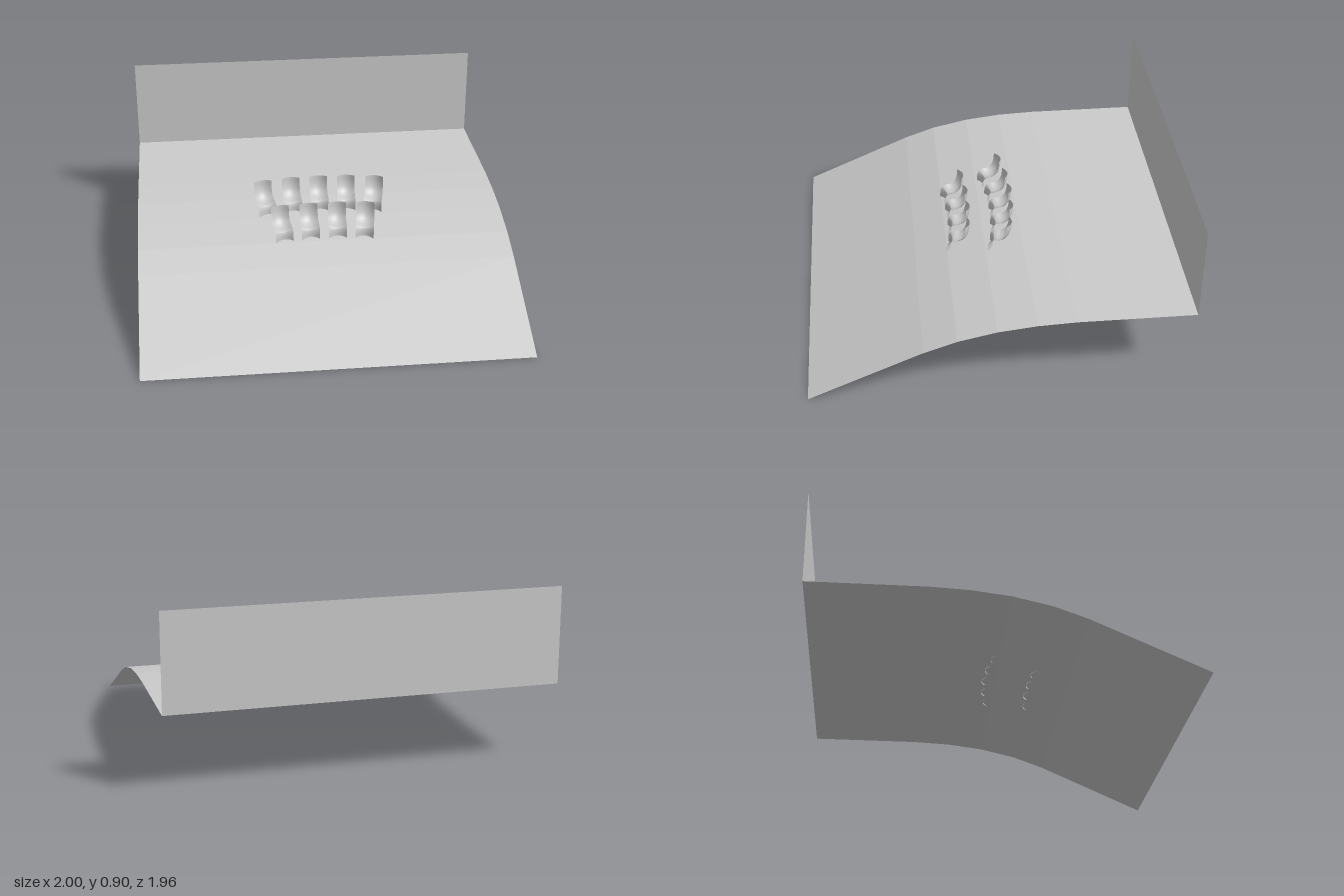
import * as THREE from 'three';

const sheetMaterial = new THREE.MeshStandardMaterial({ color: 0xcccccc, side: THREE.DoubleSide, flatShading: true });
const seatMaterial = new THREE.MeshStandardMaterial({ color: 0xcccccc, side: THREE.DoubleSide });

// Terrace section from back to front as [z, y]
const TERRACE = [[-0.98, 0.405], [-0.38, 0.402], [-0.18, 0.392], [0.02, 0.367], [0.22, 0.321], [0.39, 0.26], [0.975, 0]];

// Seat edge section from backrest top to the foot of the front lip
const SEAT = new THREE.CatmullRomCurve3([
  [0.166, -0.047], [0.125, -0.043], [0.092, -0.03], [0.077, -0.008],
  [0.073, 0.02], [0.063, 0.042], [0.04, 0.052], [0, 0.055],
].map(([y, z]) => new THREE.Vector3(0, y, z)));
const SEAT_WIDTH = 0.098;
const SEAT_BOW = 0.021;

// Sheet spanning x, following a section of [z, y] points
function createTerrace() {
  const geometry = new THREE.PlaneGeometry(2, 1, 1, TERRACE.length - 1);
  const pos = geometry.attributes.position;
  for (let i = 0; i < pos.count; i++) {
    const [z, y] = TERRACE[Math.floor(i / 2)];
    pos.setXYZ(i, pos.getX(i), y, z);
  }
  geometry.computeVertexNormals();
  const mesh = new THREE.Mesh(geometry, sheetMaterial);
  mesh.name = 'terraceFloor';
  return mesh;
}

// Thin S-shaped shell, hollowed across its width along the section normal
function createSeatGeometry() {
  const across = 8, along = 24;
  const geometry = new THREE.PlaneGeometry(SEAT_WIDTH, 1, across, along);
  const pos = geometry.attributes.position;
  for (let i = 0; i < pos.count; i++) {
    const t = Math.floor(i / (across + 1)) / along;
    const x = pos.getX(i);
    const p = SEAT.getPointAt(t);
    const tangent = SEAT.getTangentAt(t);
    const bow = SEAT_BOW * (1 - (x / (SEAT_WIDTH / 2)) ** 2);
    pos.setXYZ(i, x, p.y - tangent.z * bow, p.z + tangent.y * bow);
  }
  geometry.computeVertexNormals();
  return geometry;
}

export function createModel() {
  const model = new THREE.Group();
  model.name = 'seatingTerrace';
  model.add(createTerrace());

  // Back wall
  const wall = new THREE.Mesh(new THREE.PlaneGeometry(2, 0.5), sheetMaterial);
  wall.name = 'backWall';
  wall.position.set(0, 0.655, -0.98);
  model.add(wall);

  // Two curved rows: each entry is [x, z, turn towards the centre], mirrored
  const seatGeometry = createSeatGeometry();
  const rows = [
    { name: 'frontRow', y: 0.32, seats: [[0.075, 0.15, 0.04], [0.225, 0.162, 0.17]] },
    { name: 'rearRow', y: 0.368, seats: [[0, -0.085, 0], [0.15, -0.078, 0.06], [0.3, -0.055, 0.21]] },
  ];
  for (const { name, y, seats } of rows) {
    const row = new THREE.Group();
    row.name = name;
    for (const [x, z, turn] of seats) {
      for (const side of x === 0 ? [1] : [-1, 1]) {
        const seat = new THREE.Mesh(seatGeometry, seatMaterial);
        seat.name = 'seat';
        seat.position.set(side * x, y, z);
        seat.rotation.y = -side * turn;
        row.add(seat);
      }
    }
    model.add(row);
  }
  return model;
}
